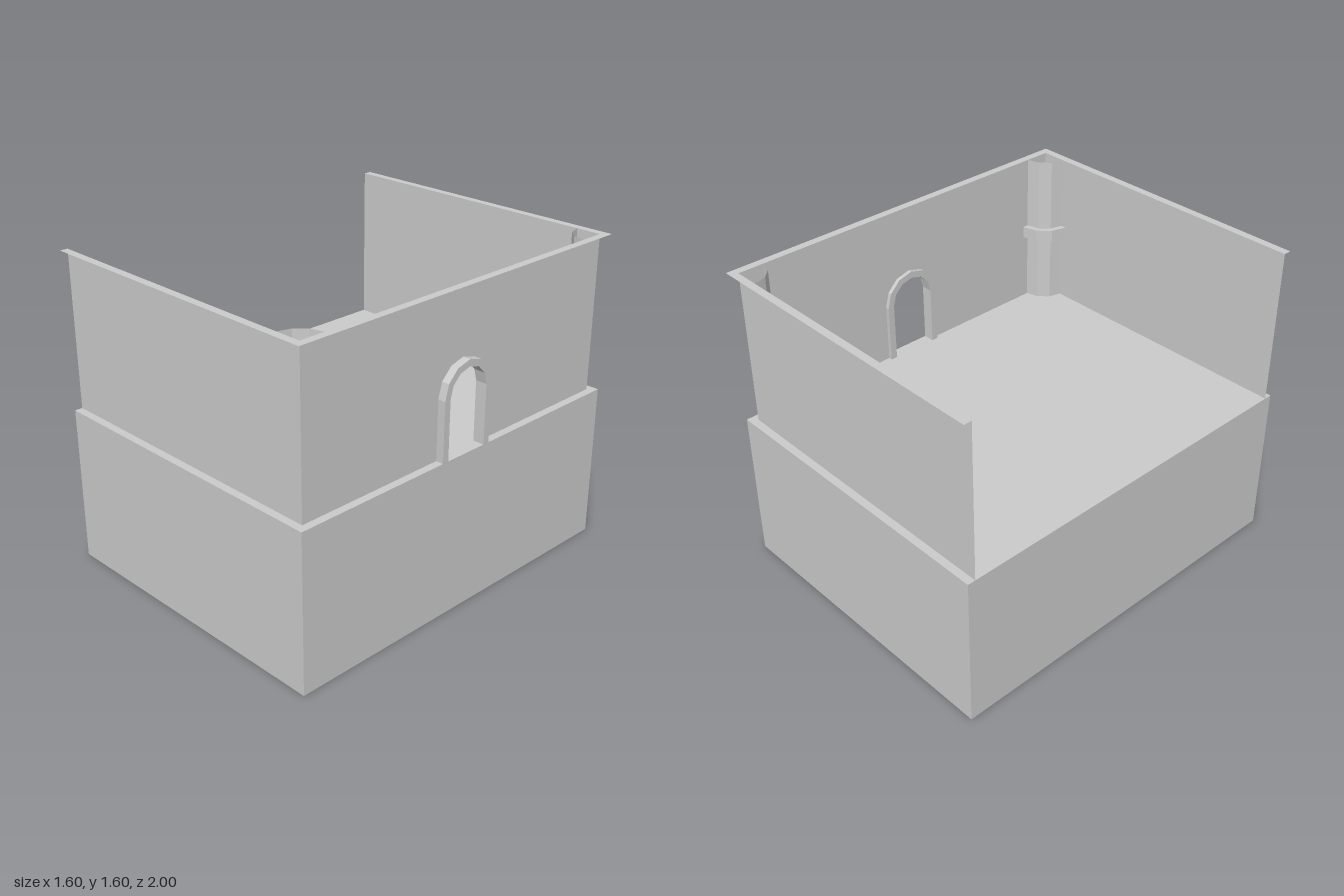
import * as THREE from 'three';

const BASE = 0.8, TOP = 1.6, WX = 0.76, WZ = 0.96;

const solid = new THREE.MeshStandardMaterial({ color: 0xcccccc, flatShading: true });
const thin = new THREE.MeshStandardMaterial({ color: 0xcccccc, flatShading: true, side: THREE.DoubleSide });

// Round-headed doorway outline, standing on y = 0
function archPoints(r, spring, n = 6) {
  const pts = [new THREE.Vector2(r, 0)];
  for (let i = 0; i <= n; i++) {
    const a = (Math.PI * i) / n;
    pts.push(new THREE.Vector2(r * Math.cos(a), spring + r * Math.sin(a)));
  }
  pts.push(new THREE.Vector2(-r, 0));
  return pts;
}

export function createModel() {
  const group = new THREE.Group();
  const add = (name, geometry, material) => {
    const mesh = new THREE.Mesh(geometry, material);
    mesh.name = name;
    group.add(mesh);
    return mesh;
  };

  // Solid lower block, its top is the floor
  add('base', new THREE.BoxGeometry(1.6, BASE, 2), solid).position.y = BASE / 2;

  // Thin front and back walls
  const wallLength = 0.8 + WX;
  for (const s of [1, -1]) {
    const wall = add(s > 0 ? 'frontWall' : 'backWall',
      new THREE.PlaneGeometry(wallLength, TOP - BASE), thin);
    wall.position.set((WX - 0.8) / 2, (BASE + TOP) / 2, s * WZ);
  }

  // Side wall with the doorway cut out
  const doorOuter = archPoints(0.155, 0.3);
  const doorInner = archPoints(0.12, 0.3);
  const side = new THREE.Shape([
    new THREE.Vector2(WZ, 0),
    new THREE.Vector2(WZ, TOP - BASE),
    new THREE.Vector2(-WZ, TOP - BASE),
    new THREE.Vector2(-WZ, 0),
    ...doorInner.slice().reverse(),
  ]);
  const sideWall = add('doorWall', new THREE.ShapeGeometry(side), thin);
  sideWall.rotation.y = Math.PI / 2;
  sideWall.position.set(WX, BASE, 0);

  // Door surround, projecting on both faces of the wall
  const surround = new THREE.Shape([...doorOuter, ...doorInner.slice().reverse()]);
  const frame = add('doorFrame',
    new THREE.ExtrudeGeometry(surround, { depth: 0.06, bevelEnabled: false }), solid);
  frame.rotation.y = Math.PI / 2;
  frame.position.set(0.74, BASE, 0);

  // Flat coping that overhangs the walls outward
  const coping = new THREE.Shape([
    [-0.8, -1], [0.8, -1], [0.8, 1], [-0.8, 1],
    [-0.8, WZ], [WX, WZ], [WX, -WZ], [-0.8, -WZ],
  ].map(([x, z]) => new THREE.Vector2(x, z)));
  const ledge = add('coping', new THREE.ShapeGeometry(coping), thin);
  ledge.rotation.x = -Math.PI / 2;
  ledge.position.y = TOP;

  // Quarter-round corner columns with a raised band
  const profile = [
    [0.13, BASE], [0.13, 1.16], [0.16, 1.16],
    [0.16, 1.22], [0.13, 1.22], [0.13, TOP],
  ].map(([r, y]) => new THREE.Vector2(r, y));
  for (const s of [1, -1]) {
    const start = s > 0 ? Math.PI : Math.PI * 1.5;
    const column = add(s > 0 ? 'frontCornerColumn' : 'backCornerColumn',
      new THREE.LatheGeometry(profile, 3, start, Math.PI / 2), thin);
    column.position.set(WX, 0, s * WZ);
  }

  return group;
}
